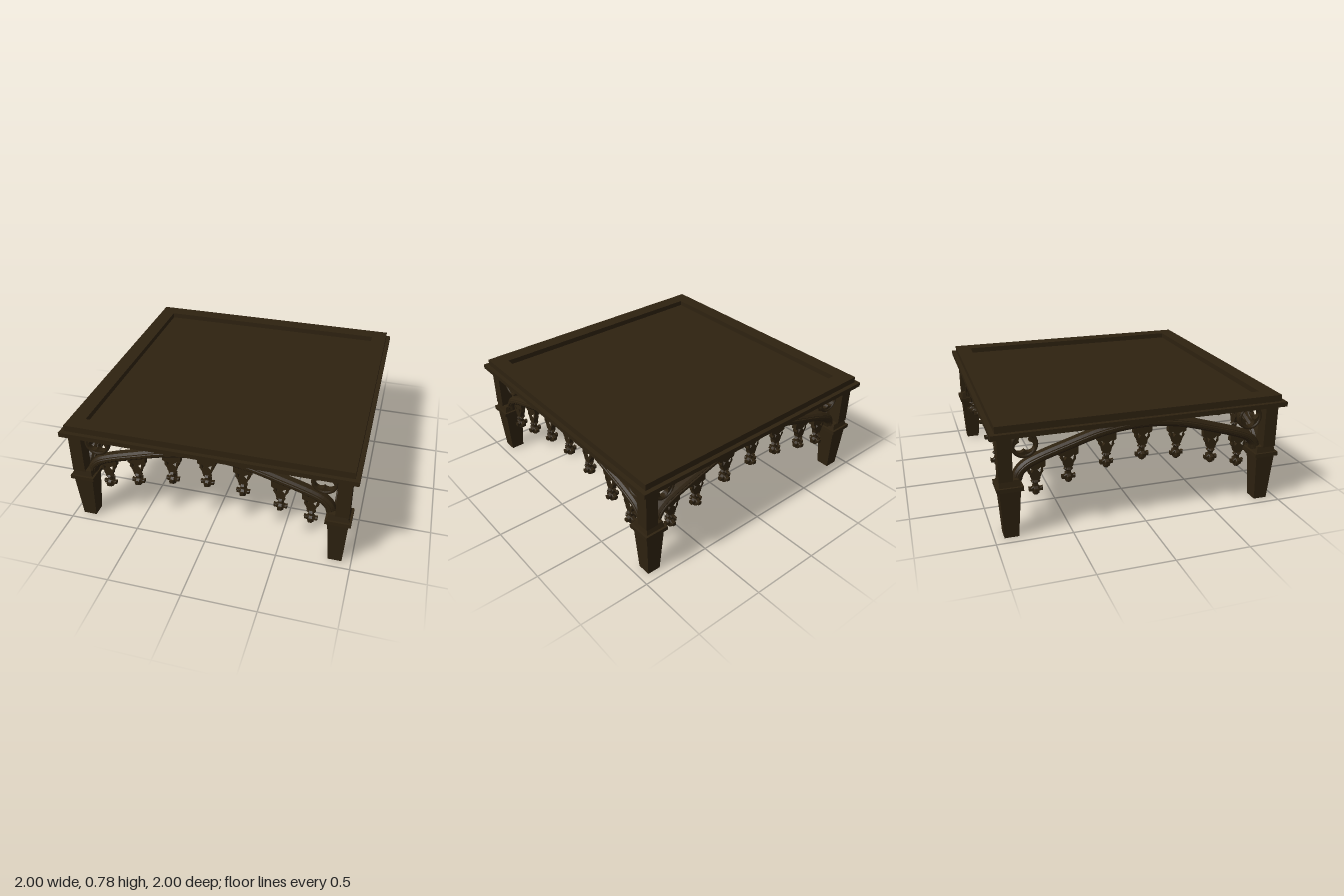
import * as THREE from 'three';

const LEG = 0.89; // distance of leg and arch centres from the middle

export function createModel() {
  const model = new THREE.Group();
  const wood = new THREE.MeshStandardMaterial({ color: 0x2e2210 });
  wood.name = 'darkWood';
  const rawWood = new THREE.MeshStandardMaterial({ color: 0x4a3526 });
  rawWood.name = 'rawUndersideWood';

  const add = (parent, name, geometry, x = 0, y = 0, z = 0, material = wood) => {
    const mesh = new THREE.Mesh(geometry, material);
    mesh.name = name;
    mesh.position.set(x, y, z);
    parent.add(mesh);
    return mesh;
  };

  // square block between two heights, with its own half width at each end
  const taper = (bottomHalf, topHalf, y0, y1) => {
    const g = new THREE.CylinderGeometry(topHalf * Math.SQRT2, bottomHalf * Math.SQRT2, y1 - y0, 4)
      .rotateY(Math.PI / 4).translate(0, (y0 + y1) / 2, 0).toNonIndexed();
    g.computeVertexNormals();
    return g;
  };

  // extrusion centred on its own plane, total thickness t including the bevel
  const slab = (shape, t, bevel = 0, curveSegments = 10) =>
    new THREE.ExtrudeGeometry(shape, {
      depth: t - 2 * bevel, bevelEnabled: bevel > 0, bevelThickness: bevel,
      bevelSize: bevel, bevelOffset: -bevel, bevelSegments: 1, curveSegments,
    }).translate(0, 0, bevel - t / 2);

  const square = (h) => [[-h, -h], [h, -h], [h, h], [-h, h]].map(([x, y]) => new THREE.Vector2(x, y));

  // table top: lower slab, raised frame, recessed panel
  add(model, 'topSlab', taper(1, 1, 0.7, 0.732));
  const frame = new THREE.Shape(square(0.97));
  frame.holes.push(new THREE.Path(square(0.86)));
  add(model, 'topFrame', slab(frame, 0.046).rotateX(-Math.PI / 2), 0, 0.753, 0);
  add(model, 'topPanel', taper(0.86, 0.86, 0.73, 0.738));

  // unfinished patch under the top, with an uneven edge
  const patch = new THREE.Shape();
  for (let i = 0; i < 72; i++) {
    const a = (i / 72) * Math.PI * 2;
    const r = 0.8 / Math.pow(Math.cos(a) ** 4 + Math.sin(a) ** 4, 0.25)
      + 0.02 * Math.sin(a * 12) + 0.012 * Math.sin(a * 19 + 1);
    patch[i ? 'lineTo' : 'moveTo'](r * Math.cos(a), r * Math.sin(a));
  }
  add(model, 'undersidePatch', slab(patch, 0.004).rotateX(Math.PI / 2), 0, 0.699, 0, rawWood);

  // legs: tapered foot, collar, post
  for (const sx of [-1, 1]) for (const sz of [-1, 1]) {
    const leg = new THREE.Group();
    leg.name = 'leg';
    leg.position.set(sx * LEG, 0, sz * LEG);
    add(leg, 'foot', taper(0.047, 0.068, 0, 0.335));
    add(leg, 'collar', taper(0.085, 0.085, 0.335, 0.362));
    add(leg, 'collarCap', taper(0.07, 0.062, 0.362, 0.405));
    add(leg, 'post', taper(0.045, 0.045, 0.4, 0.702), sx * 0.023, 0, sz * 0.023);
    model.add(leg);
  }

  // arch band: a half centreline, mirrored and thickened along its normals
  const half = [[0.835, 0.385], [0.82, 0.43], [0.775, 0.475], [0.7, 0.51], [0.5, 0.574],
    [0.31, 0.63], [0.15, 0.658], [0, 0.667]];
  const line = [...half, ...half.slice(0, -1).reverse().map(([x, y]) => [-x, y])];
  const curve = new THREE.CatmullRomCurve3(line.map(([x, y]) => new THREE.Vector3(x, y, 0)));
  const band = (t) => {
    const outer = [], inner = [];
    for (let i = 0; i <= 60; i++) {
      const p = curve.getPoint(i / 60), d = curve.getTangent(i / 60);
      outer.push(new THREE.Vector2(p.x + d.y * t, p.y - d.x * t));
      inner.unshift(new THREE.Vector2(p.x - d.y * t, p.y + d.x * t));
    }
    return new THREE.Shape([...outer, ...inner]);
  };
  const archGeometry = slab(band(0.031), 0.07, 0.014);
  const ribGeometry = slab(band(0.012), 0.086, 0.004);

  // spandrel ring pierced by a trefoil
  const ring = new THREE.Shape().absarc(0, 0, 0.088, 0, Math.PI * 2);
  const trefoil = new THREE.Path();
  for (let k = 0; k < 3; k++) {
    const a = Math.PI / 2 + (k * Math.PI * 2) / 3;
    trefoil.absarc(0.032 * Math.cos(a), 0.032 * Math.sin(a), 0.034, a - 2, a + 2);
  }
  ring.holes.push(trefoil);
  const ringGeometry = slab(ring, 0.036, 0, 16);
  const rimGeometry = new THREE.TorusGeometry(0.076, 0.013, 8, 32).scale(1, 1, 2);

  // pendant: pierced bracket above a leafy finial
  const mirrored = (pts) => new THREE.Shape([...pts, ...pts.slice().reverse().map(([x, y]) => [-x, y])]
    .map(([x, y]) => new THREE.Vector2(x, y)));
  const bracket = mirrored([[0.064, 0.02], [0.064, -0.035], [0.046, -0.045], [0.05, -0.066],
    [0.034, -0.09], [0.028, -0.116], [0.014, -0.128]]);
  for (const s of [-1, 1]) {
    bracket.holes.push(new THREE.Path([[0.012, -0.055], [0.036, -0.038], [0.028, -0.074]]
      .map(([x, y]) => new THREE.Vector2(s * x, y))));
  }
  const finial = mirrored([[0.014, -0.12], [0.03, -0.136], [0.015, -0.148], [0.015, -0.168],
    [0.03, -0.18], [0.046, -0.176], [0.044, -0.202], [0.022, -0.204], [0.02, -0.22], [0.004, -0.23]]);
  const bracketGeometry = slab(bracket, 0.036);
  const finialGeometry = slab(finial, 0.03, 0.004);
  const crossFinialGeometry = finialGeometry.clone().rotateY(Math.PI / 2);
  const pendants = [[-0.715, 0.488], [-0.5, 0.545], [-0.245, 0.612], [0, 0.635],
    [0.245, 0.612], [0.5, 0.545], [0.705, 0.488]];

  // four identical sides; two rings are turned upside down
  for (let i = 0; i < 4; i++) {
    const side = new THREE.Group();
    side.name = 'archedSide';
    side.rotation.y = (i * Math.PI) / 2;
    add(side, 'arch', archGeometry, 0, 0, LEG);
    add(side, 'archRib', ribGeometry, 0, 0, LEG);
    for (const s of [-1, 1]) {
      const flipped = (i === 2 && s < 0) || (i === 3 && s > 0);
      add(side, 'trefoilRing', ringGeometry, s * 0.78, 0.613, LEG).rotation.z = flipped ? Math.PI : 0;
      add(side, 'ringRim', rimGeometry, s * 0.78, 0.613, LEG);
    }
    for (const [x, y] of pendants) {
      add(side, 'pendantBracket', bracketGeometry, x, y, LEG);
      add(side, 'pendantFinial', finialGeometry, x, y, LEG);
      add(side, 'pendantCrossFinial', crossFinialGeometry, x, y, LEG);
    }
    model.add(side);
  }
  return model;
}
